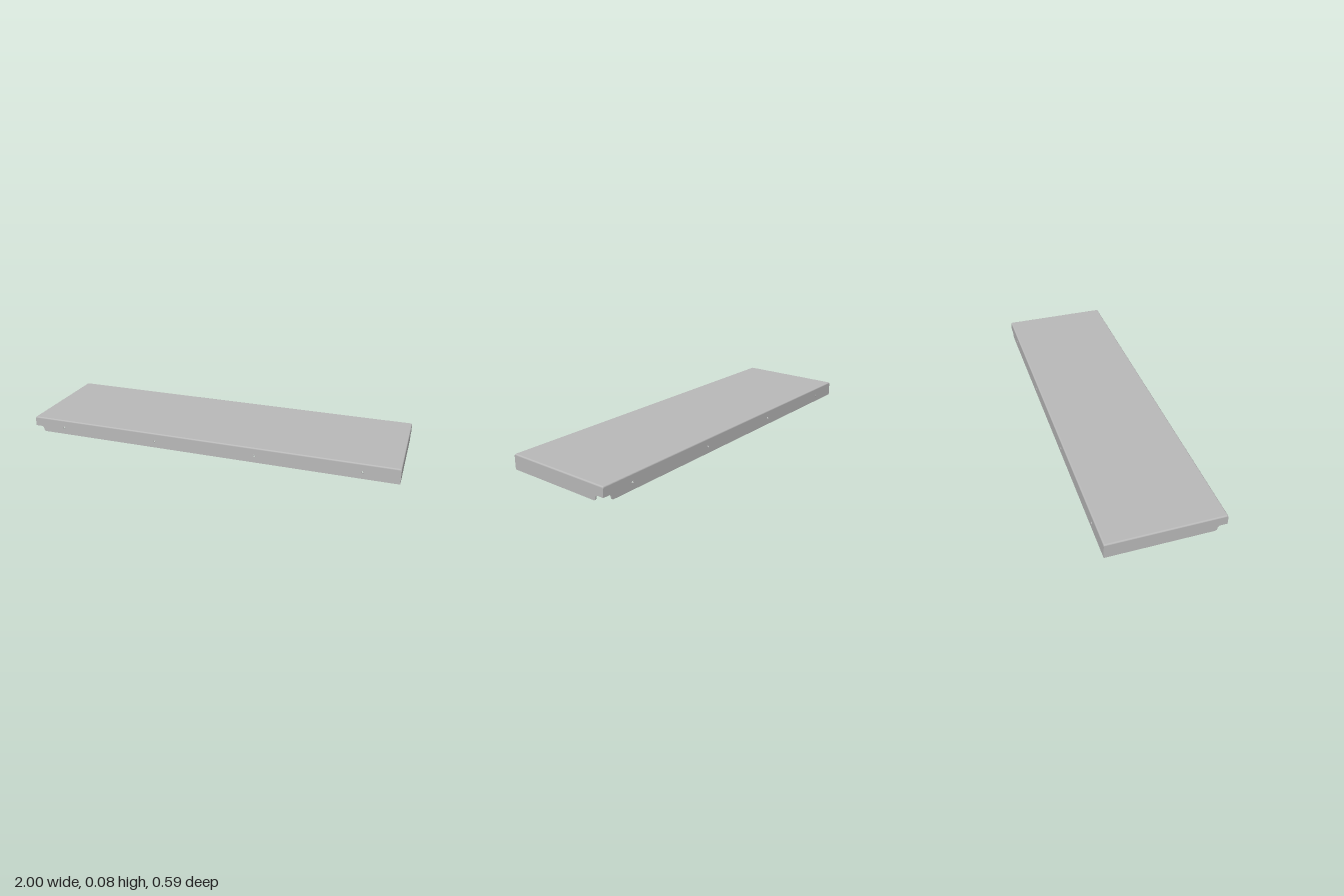
import * as THREE from 'three';

const HX = 1, HZ = 0.295, H = 0.08; // half length, half depth, height
const T = 0.006, R = 0.007;         // sheet thickness, outer bend radius
const HOLE_R = 0.004, HOLE_Y = 0.037;

export function createModel() {
  const steel = new THREE.MeshStandardMaterial({ color: 0xb8b8b8 });
  steel.name = 'grey sheet metal';
  const model = new THREE.Group();
  model.name = 'trayCover';

  function add(parent, geometry, name, x = 0, y = 0, z = 0) {
    const mesh = new THREE.Mesh(geometry, steel);
    mesh.name = name;
    mesh.position.set(x, y, z);
    parent.add(mesh);
    return mesh;
  }

  // Flat wall with an S-curved corner notch at the end given by side
  function wallGeometry(end, corner, side, holes) {
    const X = d => side * (corner - d);
    const s = new THREE.Shape();
    s.moveTo(-side * end, 0);
    s.lineTo(X(0.06), 0);
    s.quadraticCurveTo(X(0.049), 0.001, X(0.048), 0.014);
    s.quadraticCurveTo(X(0.047), 0.028, X(0.034), 0.028);
    s.lineTo(side * end, 0.028);
    s.lineTo(side * end, H - R);
    s.lineTo(-side * end, H - R);
    s.closePath();
    for (const x of holes) {
      const h = new THREE.Path();
      h.absarc(x, HOLE_Y, HOLE_R, 0, Math.PI * 2, true);
      s.holes.push(h);
    }
    return new THREE.ExtrudeGeometry(s, { depth: T, bevelEnabled: false, curveSegments: 10 });
  }

  // Rounded fold joining a wall to the top
  function bendGeometry(length) {
    const s = new THREE.Shape();
    s.absarc(0, 0, R, 0, Math.PI / 2, false);
    s.absarc(0, 0, R - T, Math.PI / 2, 0, true);
    s.closePath();
    const g = new THREE.ExtrudeGeometry(s, { depth: length, bevelEnabled: false, curveSegments: 6 });
    return g.translate(0, 0, -length / 2).rotateY(-Math.PI / 2);
  }

  // Raised collar around each screw hole
  const collar = new THREE.LatheGeometry(
    [[0.0068, 0], [0.0058, 0.002], [HOLE_R, 0.002], [HOLE_R, -0.001]]
      .map(p => new THREE.Vector2(...p)), 16).rotateX(Math.PI / 2);

  function addFlange(name, angle, end, corner, out, side, holes) {
    const flange = new THREE.Group();
    flange.name = name;
    flange.rotation.y = angle;
    add(flange, wallGeometry(end, corner, side, holes), name + 'Wall', 0, 0, out - T);
    add(flange, bendGeometry(2 * (corner - R)), name + 'Bend', 0, H - R, out - R);
    for (const x of holes) add(flange, collar, 'holeCollar', x, HOLE_Y, out);
    model.add(flange);
  }

  // Top panel
  add(model, new THREE.BoxGeometry(2 * (HX - R), T, 2 * (HZ - R)), 'topPanel', 0, H - T / 2, 0);

  // Four folded sides, notched at two opposite corners
  const holes = [-0.82, -0.275, 0.275, 0.82];
  addFlange('front', 0, HX, HX, HZ, -1, holes);
  addFlange('back', Math.PI, HX, HX, HZ, -1, holes);
  addFlange('left', Math.PI / 2, HZ - T, HZ, HX, 1, []);
  addFlange('right', -Math.PI / 2, HZ - T, HZ, HX, 1, []);

  // Rounded top corners
  const cap = new THREE.SphereGeometry(R, 16, 6, 0, Math.PI * 2, 0, Math.PI / 2);
  for (const sx of [-1, 1]) for (const sz of [-1, 1])
    add(model, cap, 'cornerCap', sx * (HX - R), H - R, sz * (HZ - R));

  return model;
}
